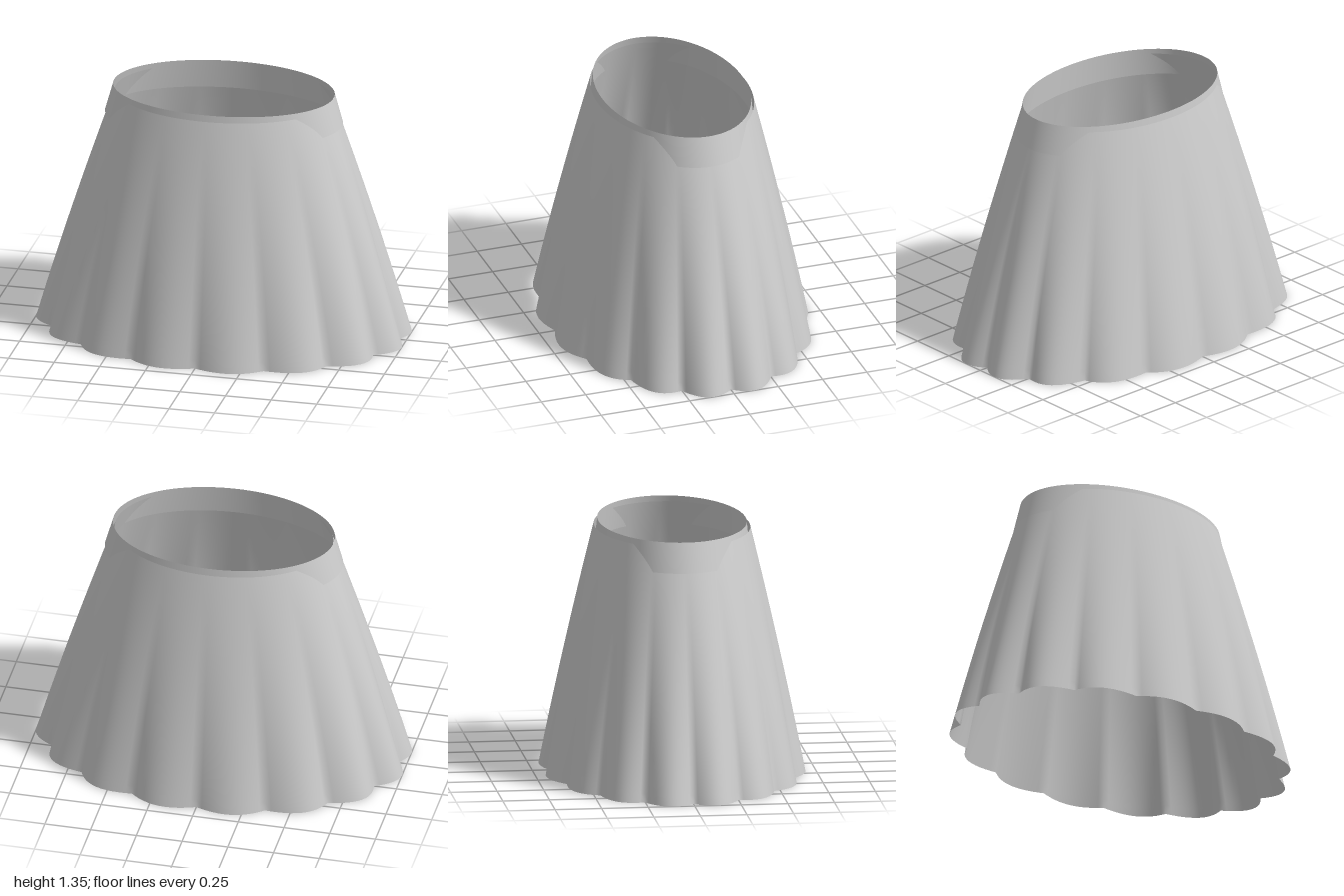
import * as THREE from 'three';

const SEGMENTS = 192;
const PLEATS = 16;

// Open tube built from closed rings; ring(s, t) gives a point, s from bottom to top
function ringShell(name, rows, ring, material) {
  const positions = [], index = [];
  for (let r = 0; r <= rows; r++) {
    for (let i = 0; i < SEGMENTS; i++) {
      positions.push(...ring(r / rows, (i / SEGMENTS) * Math.PI * 2));
    }
  }
  for (let r = 0; r < rows; r++) {
    for (let i = 0; i < SEGMENTS; i++) {
      const j = (i + 1) % SEGMENTS;
      const a = r * SEGMENTS + i, b = r * SEGMENTS + j;
      index.push(a, a + SEGMENTS, b, b, a + SEGMENTS, b + SEGMENTS);
    }
  }
  const geometry = new THREE.BufferGeometry();
  geometry.setAttribute('position', new THREE.Float32BufferAttribute(positions, 3));
  geometry.setIndex(index);
  geometry.computeVertexNormals();
  const mesh = new THREE.Mesh(geometry, material);
  mesh.name = name;
  return mesh;
}

export function createModel() {
  const { lerp } = THREE.MathUtils;
  const fabric = new THREE.MeshStandardMaterial({ color: 0xcccccc, side: THREE.DoubleSide });
  fabric.name = 'light grey fabric';

  // Flared skirt: slightly bulging oval cone whose scalloped pleats fade out upwards
  const skirt = ringShell('skirt', 28, (s, t) => {
    const bulge = 0.1 * s * (1 - s);
    const pleat = 1 + 0.07 * Math.pow(1 - s, 1.5) * Math.abs(Math.sin((t * PLEATS) / 2));
    const rx = (lerp(0.95, 0.59, s) + bulge) * pleat;
    const rz = (lerp(0.66, 0.415, s) + bulge * 0.69) * pleat;
    return [rx * Math.cos(t), 1.32 * s, -rz * Math.sin(t)];
  }, fabric);

  // Waistband: plain oval band that overlaps the top of the skirt
  const waistband = ringShell('waistband', 2, (s, t) => [
    lerp(0.645, 0.6, s) * Math.cos(t),
    lerp(1.19, 1.35, s),
    -lerp(0.41, 0.395, s) * Math.sin(t),
  ], fabric);

  const model = new THREE.Group();
  model.name = 'pleatedSkirt';
  model.add(skirt, waistband);
  return model;
}
